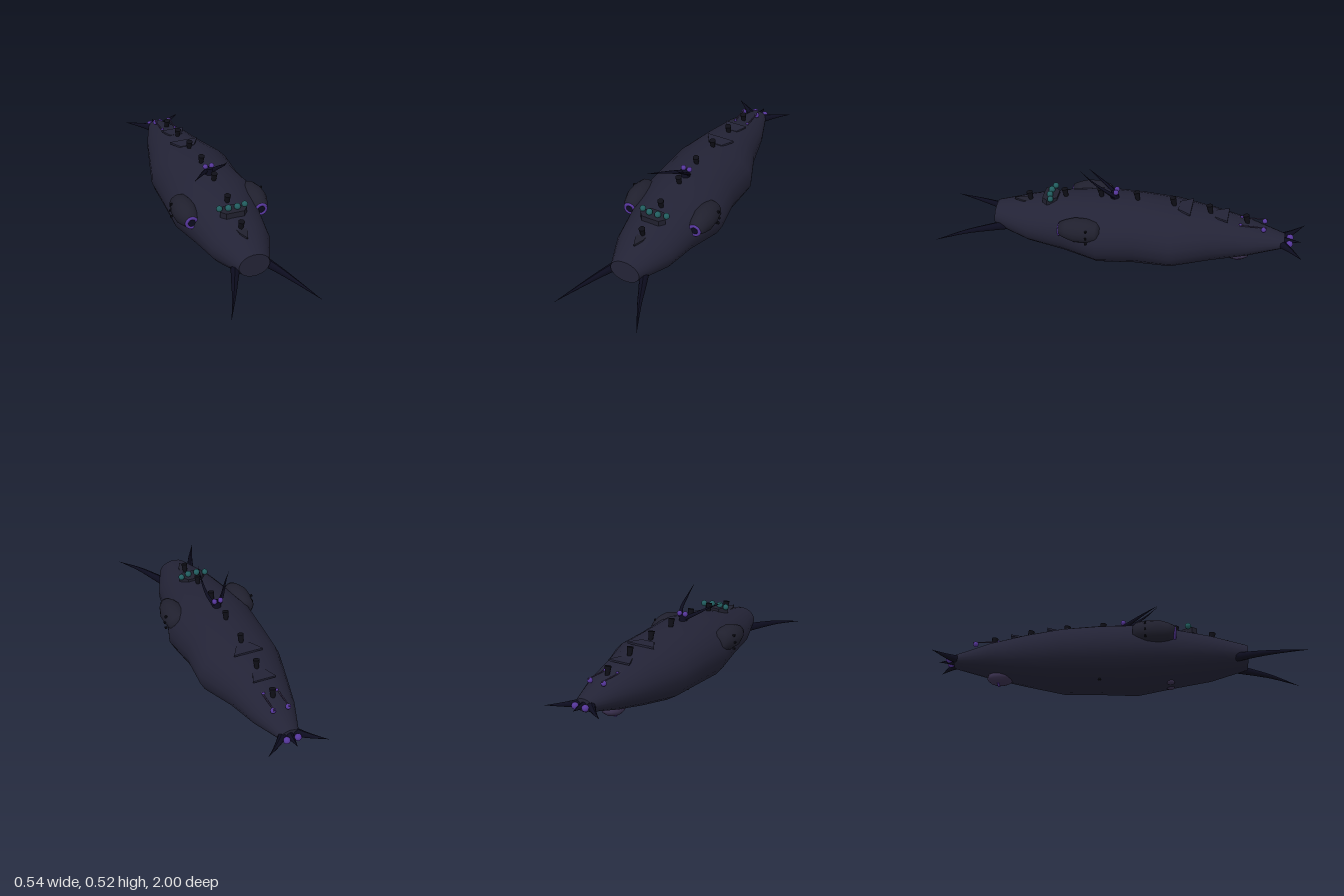
import * as THREE from 'three';

const mat = (name, hex) => {
  const m = new THREE.MeshStandardMaterial({ color: hex });
  m.name = name;
  return m;
};

export function createModel() {
  const root = new THREE.Group();
  root.name = 'livingSubmarine';
  const hullMat = mat('midnightHull', 0x232336);
  const podMat = mat('charcoalPod', 0x20202e);
  const hornMat = mat('darkNavyHorn', 0x0c0c1e);
  const blackMat = mat('black', 0x0e0e16);
  const purpleMat = mat('purpleGlow', 0x55369a);
  const tealMat = mat('tealEye', 0x215c5e);
  const bellyMat = mat('dullPurple', 0x39304e);

  const add = (name, geo, m, x = 0, y = 0, z = 0, parent = root) => {
    const mesh = new THREE.Mesh(geo, m);
    mesh.name = name;
    mesh.position.set(x, y, z);
    parent.add(mesh);
    return mesh;
  };
  const ball = (name, r, m, x, y, z, parent) =>
    add(name, new THREE.SphereGeometry(r, 12, 8), m, x, y, z, parent);

  // Tube that narrows to a point along a curve
  const taperTube = (name, pts, r, m) => {
    const curve = new THREE.CatmullRomCurve3(pts.map(p => new THREE.Vector3(...p)));
    const seg = 10, sides = 8;
    const geo = new THREE.TubeGeometry(curve, seg, r, sides);
    const pos = geo.attributes.position, v = new THREE.Vector3();
    for (let i = 0; i < pos.count; i++) {
      const t = Math.floor(i / (sides + 1)) / seg, c = curve.getPointAt(t);
      v.fromBufferAttribute(pos, i).sub(c).multiplyScalar(Math.max(0.02, 1 - t)).add(c);
      pos.setXYZ(i, v.x, v.y, v.z);
    }
    geo.computeVertexNormals();
    return add(name, geo, m);
  };

  // Hull stations: z, right half-width, left half-width, bottom, top
  const stations = [
    [0.7, 0.085, 0.085, 0.125, 0.255], [0.5, 0.162, 0.168, 0.07, 0.303],
    [0.3, 0.197, 0.2, 0.035, 0.345], [0.1, 0.238, 0.262, 0.002, 0.366],
    [-0.1, 0.23, 0.232, 0.006, 0.366], [-0.3, 0.225, 0.243, 0.013, 0.352],
    [-0.5, 0.175, 0.165, 0.05, 0.326], [-0.7, 0.123, 0.122, 0.097, 0.285],
    [-0.9, 0.05, 0.052, 0.155, 0.225],
  ];
  const N = 20, PHASE = 0.12;
  const verts = [], idx = [];
  stations.forEach(([z, xr, xl, lo, hi], j) => {
    for (let i = 0; i < N; i++) {
      const a = PHASE + i / N * Math.PI * 2, c = Math.cos(a);
      verts.push(c * (c > 0 ? xl : xr), (lo + hi) / 2 + Math.sin(a) * (hi - lo) / 2, z);
      if (j < stations.length - 1) {
        const p = j * N + i, q = j * N + (i + 1) % N;
        idx.push(p, p + N, q, q, p + N, q + N);
      }
    }
  });
  const hull = new THREE.BufferGeometry();
  hull.setAttribute('position', new THREE.Float32BufferAttribute(verts, 3));
  hull.setIndex(idx);
  hull.computeVertexNormals();
  add('hull', hull, hullMat);
  const nose = add('noseCap', new THREE.CircleGeometry(1, N, PHASE), hullMat, 0, 0.19, 0.7);
  nose.scale.set(0.085, 0.065, 1);
  const tail = add('tailCap', new THREE.CircleGeometry(1, N, -PHASE), hullMat, 0, 0.19, -0.9);
  tail.rotation.y = Math.PI;
  tail.scale.set(0.051, 0.035, 1);

  // Height of the hull's back at a given z
  const topAt = z => {
    const j = Math.max(1, stations.findIndex(s => s[0] <= z));
    const a = stations[j - 1], b = stations[j];
    return a[4] + (b[4] - a[4]) * (z - a[0]) / (b[0] - a[0]);
  };

  // Short flared pegs along the back, leaning forward
  for (let i = 0; i < 7; i++) {
    const z = 0.51 - i * 0.2;
    const peg = add('backPeg', new THREE.CylinderGeometry(0.018, 0.011, 0.055, 8), blackMat,
      0, topAt(z) + 0.015, z);
    peg.rotation.x = 0.2;
  }

  // Flat plates lying on the back: outline given as [x, z] for one half
  const plate = (name, half, y, h, m) => {
    const pts = [...half, ...half.slice().reverse().map(([x, z]) => [-x, z])];
    const geo = new THREE.ExtrudeGeometry(
      new THREE.Shape(pts.map(([x, z]) => new THREE.Vector2(x, -z))),
      { depth: h, bevelEnabled: false });
    geo.rotateX(-Math.PI / 2);
    return add(name, geo, m, 0, y, 0);
  };
  plate('backScale', [[0.04, -0.32], [0.082, -0.39]], 0.341, 0.011, hullMat);
  plate('backScale', [[0.035, -0.52], [0.065, -0.59]], 0.312, 0.01, hullMat);
  plate('browScale', [[0.03, 0.5], [0.022, 0.55], [0.002, 0.6]], 0.287, 0.01, podMat);

  // Eye cluster
  plate('eyeHousing', [[0.04, 0.35], [0.075, 0.4], [0.05, 0.43]], 0.315, 0.032, podMat);
  for (const s of [-1, 1]) {
    ball('innerEye', 0.018, tealMat, s * 0.025, 0.357, 0.392);
    ball('outerEye', 0.017, tealMat, s * 0.071, 0.355, 0.38);
  }

  // Side pods with glowing nozzle rings and bolts
  const podProfile = [[0.001, -0.12], [0.035, -0.12], [0.055, -0.1], [0.067, -0.04],
    [0.067, 0.02], [0.052, 0.07], [0.036, 0.105], [0.001, 0.105]]
    .map(p => new THREE.Vector2(...p));
  for (const s of [-1, 1]) {
    const pod = new THREE.Group();
    pod.name = s > 0 ? 'leftPod' : 'rightPod';
    pod.position.set(s * 0.197, 0.257, 0.2);
    root.add(pod);
    const shell = add('podShell', new THREE.LatheGeometry(podProfile, 14), podMat, 0, 0, 0, pod);
    shell.rotation.x = Math.PI / 2;
    add('nozzleRing', new THREE.TorusGeometry(0.028, 0.009, 8, 18), purpleMat, 0, -0.006, 0.104, pod);
    const core = add('nozzleCore', new THREE.CylinderGeometry(0.02, 0.02, 0.006, 14), hornMat,
      0, -0.006, 0.106, pod);
    core.rotation.x = Math.PI / 2;
    for (const [x, y] of [[0.06, 0.03], [0.065, -0.008], [0.06, -0.045]])
      add('podBolt', new THREE.BoxGeometry(0.014, 0.01, 0.01), blackMat, s * x, y, -0.052, pod);
  }

  // Front horns
  for (const s of [-1, 1])
    taperTube('frontHorn', [[s * 0.075, 0.16, 0.63], [s * 0.115, 0.157, 0.72],
      [s * 0.165, 0.148, 0.84], [s * 0.24, 0.123, 1]], 0.026, hornMat);

  // Antennae on a small base with two bulbs
  add('antennaBase', new THREE.CylinderGeometry(0.02, 0.026, 0.04, 8), hornMat, 0, 0.378, 0.035);
  for (const s of [-1, 1]) ball('antennaBulb', 0.015, purpleMat, s * 0.018, 0.404, 0.025);
  taperTube('leftAntenna', [[0.015, 0.375, 0.03], [0.038, 0.42, 0.08], [0.041, 0.47, 0.15],
    [0.036, 0.527, 0.215]], 0.013, hornMat);
  taperTube('rightAntenna', [[-0.015, 0.38, 0.03], [-0.06, 0.402, 0.09], [-0.1, 0.423, 0.15],
    [-0.15, 0.44, 0.215]], 0.013, hornMat);

  // Tail spikes and bulbs
  for (const s of [-1, 0, 1])
    taperTube('tailSpike', [[s * 0.02, 0.19, -0.87], [s * 0.085, 0.19, -0.935],
      [s * 0.165, 0.19, s ? -1 : -0.988]], 0.026, hornMat);
  for (const s of [-1, 1]) ball('tailBulb', 0.019, purpleMat, s * 0.031, 0.192, -0.928);

  // Slim rods with glowing tips on the rear back
  for (const s of [-1, 1]) {
    const rod = add('rearRod', new THREE.CylinderGeometry(0.004, 0.004, 0.17, 6), bellyMat,
      s * 0.042, 0.287, -0.715);
    rod.rotation.x = Math.PI / 2;
    ball('rodTip', 0.015, purpleMat, s * 0.042, 0.276, -0.785);
    ball('rodBead', 0.008, purpleMat, s * 0.038, 0.29, -0.66);
  }

  // Belly pod, chin lumps and hull bolts
  const belly = ball('bellyPod', 0.07, bellyMat, 0, 0.088, -0.645);
  belly.scale.set(0.85, 0.55, 1.05);
  add('bellySlit', new THREE.BoxGeometry(0.05, 0.008, 0.012), purpleMat, 0, 0.051, -0.655);
  for (const s of [-1, 1]) {
    const lump = ball('chinLump', 0.022, bellyMat, s * 0.036, 0.036, 0.28);
    lump.scale.set(1, 0.55, 1);
    add('bellyBolt', new THREE.CylinderGeometry(0.008, 0.008, 0.02, 6), blackMat,
      s * 0.11, 0.032, s * 0.1);
  }
  return root;
}
